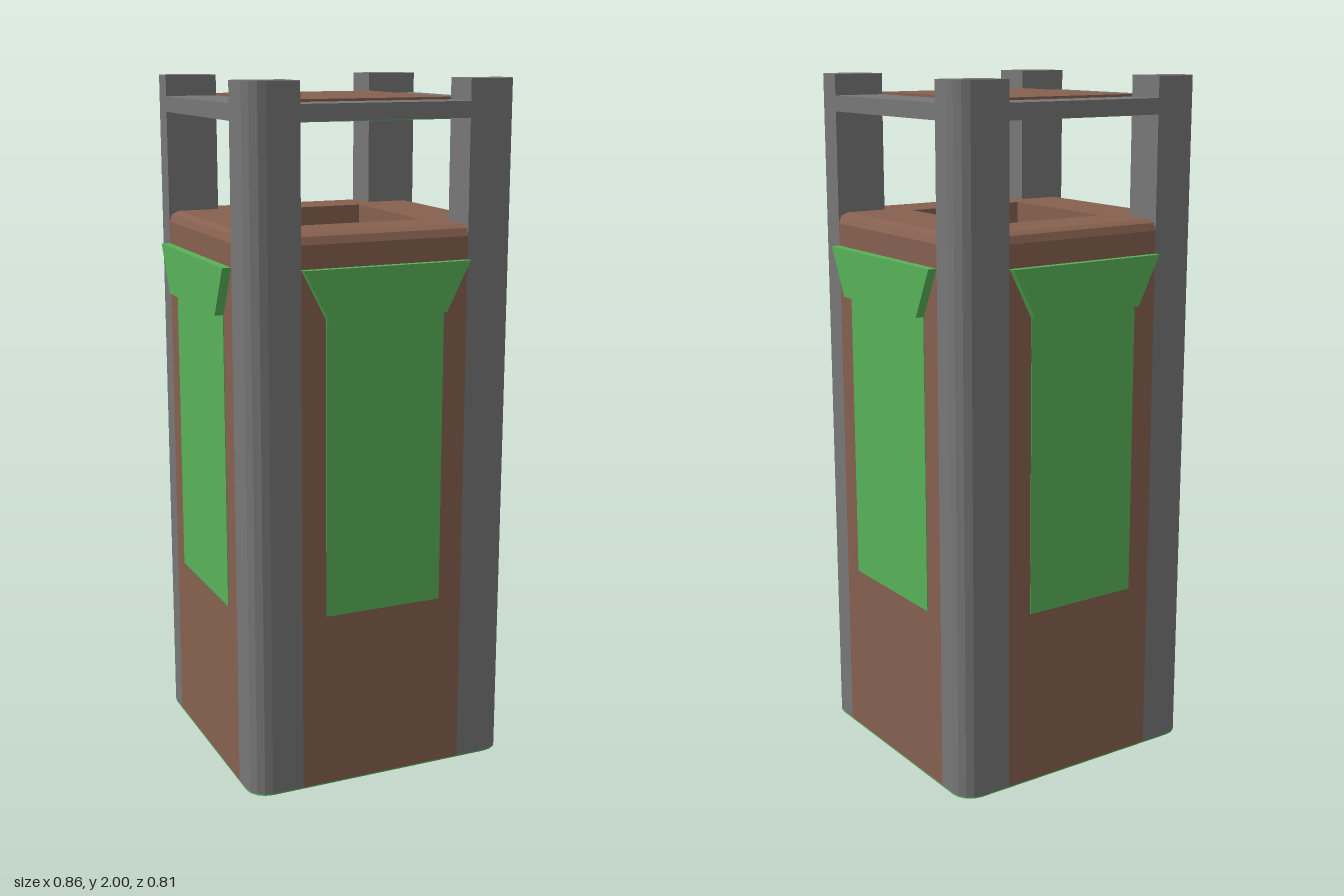
import * as THREE from 'three';

// Overall half sizes: outer faces and the inner edges of the corner posts
const X = 0.404, Z = 0.384, XI = 0.25, ZI = 0.268, R = 0.06;
const BODY_TOP = 1.53, RIM_TOP = 1.605;

const paint = (color) => new THREE.MeshStandardMaterial({ color, flatShading: true });

export function createModel() {
  const grey = paint(0x777777), brown = paint(0x86604f), green = paint(0x58b258);
  const model = new THREE.Group();
  model.name = 'pillar';

  const add = (parent, name, geometry, material, x = 0, y = 0, z = 0) => {
    const mesh = new THREE.Mesh(geometry, material);
    mesh.name = name;
    mesh.position.set(x, y, z);
    parent.add(mesh);
    return mesh;
  };
  const poly = (pts) => new THREE.Shape(pts.map(([x, y]) => new THREE.Vector2(x, y)));
  const extrude = (shape, depth) =>
    new THREE.ExtrudeGeometry(shape, { depth, bevelEnabled: false, curveSegments: 4 });
  // Footprint in x/z raised along y
  const raise = (shape, height) => extrude(shape, height).rotateX(-Math.PI / 2);
  // Quarter-round corner, as points about the centre (cx, cz)
  const corner = (sx, sz) => {
    const pts = [];
    for (let i = 0; i <= 4; i++) {
      const a = (i / 4) * Math.PI / 2;
      pts.push([sx * (X - R + R * Math.cos(a)), sz * (Z - R + R * Math.sin(a))]);
    }
    return pts;
  };

  // Underside plate with rounded corners
  const footprint = [
    ...corner(1, 1), ...corner(-1, 1).reverse(),
    ...corner(-1, -1), ...corner(1, -1).reverse(),
  ];
  add(model, 'basePlate', raise(poly(footprint), 0.004), green);

  // Cross-shaped body filling the space between the posts
  const cross = poly([
    [XI, -Z], [XI, -ZI], [X, -ZI], [X, ZI], [XI, ZI], [XI, Z],
    [-XI, Z], [-XI, ZI], [-X, ZI], [-X, -ZI], [-XI, -ZI], [-XI, -Z],
  ]);
  add(model, 'body', raise(cross, BODY_TOP - 0.004), brown, 0, 0.004, 0);

  // Four corner posts, rounded on the outside corner only
  for (const sx of [1, -1]) for (const sz of [1, -1]) {
    const post = poly([[sx * XI, sz * ZI], [sx * X, sz * ZI], ...corner(sx, sz), [sx * XI, sz * Z]]);
    add(model, 'cornerPost', raise(post, 1.996), grey, 0, 0.004, 0);
  }

  // One face: panel, flared hood, top rim and upper rail, built facing +z
  const addSide = (name, angle, half, inner, outer, panelHalf, hoodOut) => {
    const side = new THREE.Group();
    side.name = name;
    side.rotation.y = angle;
    model.add(side);

    add(side, 'panel', new THREE.BoxGeometry(panelHalf * 2, 0.86, 0.01), green, 0, 0.95, outer - 0.003);

    const hood = poly([[-panelHalf, 1.37], [panelHalf, 1.37], [half, 1.51], [-half, 1.51]]);
    add(side, 'hood', extrude(hood, hoodOut - outer + 0.005), green, 0, 0, outer - 0.005);

    // Rim around the sunken top, with a softened outer edge
    const rim = poly([
      [inner - 0.06, BODY_TOP], [outer, BODY_TOP], [outer, RIM_TOP - 0.03],
      [outer - 0.009, RIM_TOP - 0.009], [outer - 0.03, RIM_TOP], [inner - 0.06, RIM_TOP],
    ]);
    add(side, 'topRim', extrude(rim, half * 2).rotateY(-Math.PI / 2), brown, half, 0, 0);

    const rail = new THREE.BoxGeometry(half * 2, 0.045, outer - inner);
    add(side, 'upperRail', rail, grey, 0, 1.918, (outer + inner) / 2);
  };
  addSide('frontSide', 0, XI, ZI, Z, 0.178, 0.404);
  addSide('leftSide', Math.PI / 2, ZI, XI, X, 0.2, 0.43);
  addSide('backSide', Math.PI, XI, ZI, Z, 0.178, 0.404);
  addSide('rightSide', -Math.PI / 2, ZI, XI, X, 0.2, 0.43);

  // Roof panel between the rails, green underneath
  add(model, 'roofPanel', new THREE.BoxGeometry(XI * 2, 0.053, ZI * 2), brown, 0, 1.921, 0);
  add(model, 'roofUnderside', new THREE.BoxGeometry(XI * 2, 0.008, ZI * 2), green, 0, 1.891, 0);

  // Shift slightly so the hoods stay centred front to back
  for (const part of model.children) part.position.z += 0.003;
  return model;
}
